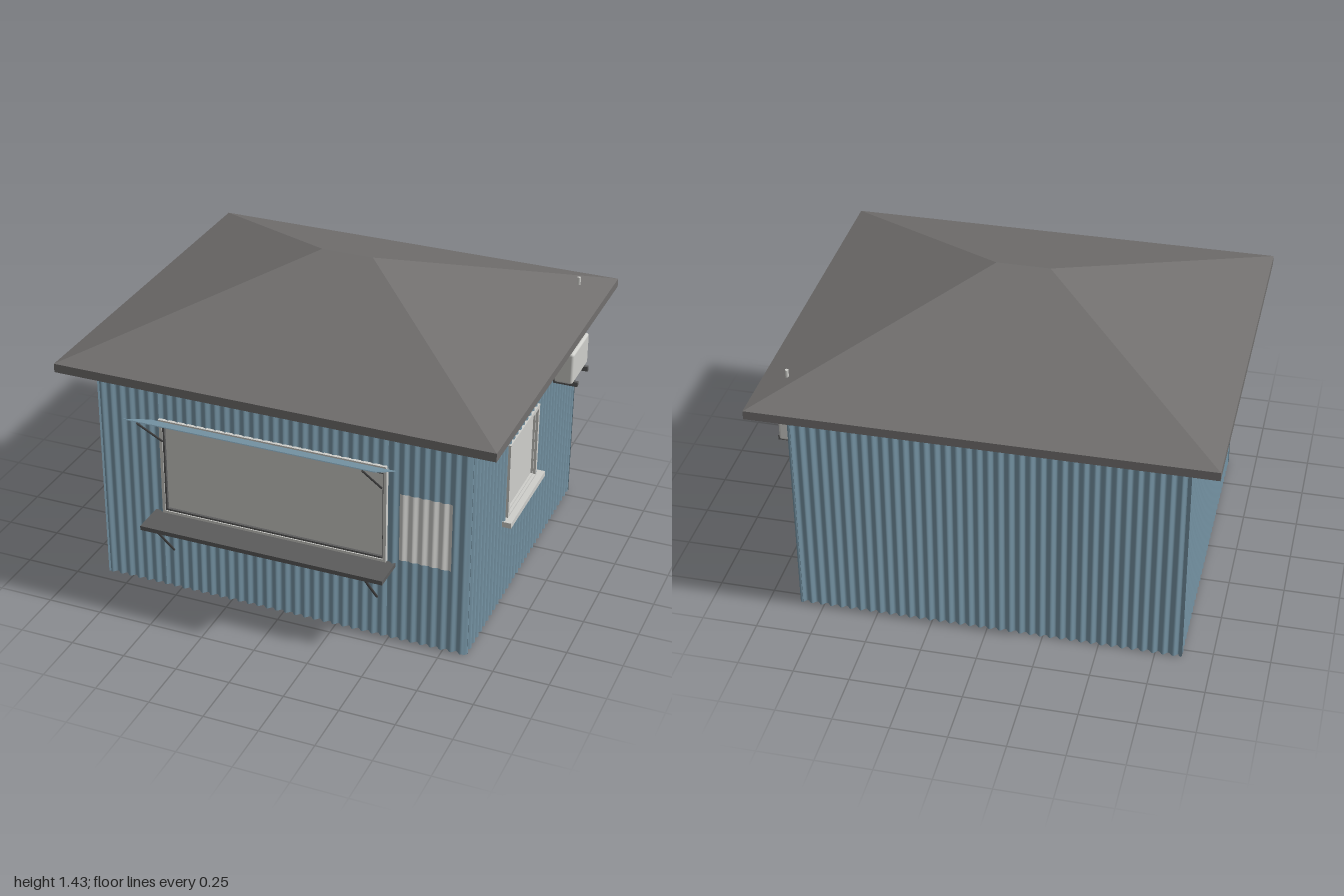
import * as THREE from 'three';
import { RoundedBoxGeometry } from 'three/addons/geometries/RoundedBoxGeometry.js';

const material = (name, color, side = THREE.FrontSide) =>
  Object.assign(new THREE.MeshStandardMaterial({ color, side }), { name });

const PITCH = 0.0455, DEPTH = 0.009;   // wall corrugation

export function createModel() {
  const blue = material('blue sheet metal', 0x7897a8, THREE.DoubleSide);
  const roofGrey = material('roof grey', 0x716f6e);
  const dark = material('dark underside', 0x464646);
  const white = material('off white', 0xcfcfcb);
  const paper = material('paper white', 0xcfcfcc, THREE.DoubleSide);
  const steel = material('steel grey', 0x5c5c5c);

  const model = new THREE.Group();
  model.name = 'kiosk';

  const add = (parent, name, geometry, mat) => {
    const mesh = new THREE.Mesh(geometry, mat);
    mesh.name = name;
    parent.add(mesh);
    return mesh;
  };
  // Box given by its min and max corners
  const box = (parent, name, mat, x0, x1, y0, y1, z0, z1) => {
    const mesh = add(parent, name, new THREE.BoxGeometry(x1 - x0, y1 - y0, z1 - z0), mat);
    mesh.position.set((x0 + x1) / 2, (y0 + y1) / 2, (z0 + z1) / 2);
    return mesh;
  };
  // Straight rod between two points
  const rod = (parent, name, mat, a, b, radius, sides = 6) => {
    const from = new THREE.Vector3(...a), to = new THREE.Vector3(...b);
    const dir = to.clone().sub(from);
    const mesh = add(parent, name, new THREE.CylinderGeometry(radius, radius, dir.length(), sides), mat);
    mesh.position.copy(from).add(to).multiplyScalar(0.5);
    mesh.quaternion.setFromUnitVectors(new THREE.Vector3(0, 1, 0), dir.normalize());
  };
  // Corrugated sheet facing local +z
  const sheet = (parent, name, mat, u0, u1, y0, y1, offset = 0, wobble = 0) => {
    const g = new THREE.PlaneGeometry(u1 - u0, y1 - y0, Math.ceil((u1 - u0) / PITCH * 8), 1);
    g.translate((u0 + u1) / 2, (y0 + y1) / 2, 0);
    const p = g.attributes.position;
    for (let i = 0; i < p.count; i++) {
      const wave = Math.sin(p.getX(i) / PITCH * Math.PI * 2);
      p.setZ(i, DEPTH * (wave - 1) + offset);
      p.setY(i, p.getY(i) + wobble * wave);
    }
    g.computeVertexNormals();
    return add(parent, name, g, mat);
  };
  // Rectangular frame of four bars
  const frame = (parent, name, mat, x0, x1, y0, y1, t, z0, z1) => {
    box(parent, name, mat, x0, x0 + t, y0, y1, z0, z1);
    box(parent, name, mat, x1 - t, x1, y0, y1, z0, z1);
    box(parent, name, mat, x0 + t, x1 - t, y0, y0 + t, z0, z1);
    box(parent, name, mat, x0 + t, x1 - t, y1 - t, y1, z0, z1);
  };
  // One wall, with an optional opening [u0, u1, y0, y1]
  const TOP = 1.07;
  const wall = (name, angle, x, z, u0, u1, hole) => {
    const group = new THREE.Group();
    group.name = name;
    group.rotation.y = angle;
    group.position.set(x, 0, z);
    if (hole) {
      const [a, b, c, d] = hole;
      sheet(group, name + 'Sheet', blue, u0, a, 0, TOP);
      sheet(group, name + 'Sheet', blue, b, u1, 0, TOP);
      sheet(group, name + 'Sheet', blue, a, b, 0, c);
      sheet(group, name + 'Sheet', blue, a, b, d, TOP);
    } else sheet(group, name + 'Sheet', blue, u0, u1, 0, TOP);
    model.add(group);
    return group;
  };
  const front = wall('frontWall', 0, 0, 0.69, -0.87, 0.86, [-0.575, 0.485, 0.385, 0.84]);
  const side = wall('leftWall', Math.PI / 2, 0.86, 0, -0.69, 0.8, [-0.19, 0.22, 0.4, 0.775]);
  wall('backWall', Math.PI, 0, -0.8, -0.86, 0.87);
  wall('rightWall', -Math.PI / 2, -0.87, 0, -0.8, 0.69);
  box(model, 'cornerPost', white, -0.85, -0.8, 0, 1.065, 0.62, 0.67);

  // Hipped roof: fascia slab, and a box pinched to a short ridge
  const slab = [roofGrey, roofGrey, roofGrey, dark, roofGrey, roofGrey];
  box(model, 'roofFascia', slab, -1, 1, 1.065, 1.105, -0.93, 0.82);
  const hip = new THREE.BoxGeometry(2, 0.325, 1.75);
  const hp = hip.attributes.position;
  for (let i = 0; i < hp.count; i++) {
    if (hp.getY(i) > 0) hp.setXYZ(i, Math.sign(hp.getX(i)) * 0.12, hp.getY(i), 0);
  }
  hip.computeVertexNormals();
  add(model, 'hippedRoof', hip, roofGrey).position.set(0, 1.2675, -0.055);

  // Serving window (local z = 0 is the wall face)
  frame(front, 'servingWindowTrim', white, -0.575, 0.485, 0.385, 0.84, 0.014, -0.04, 0.004);
  frame(front, 'servingWindowFrame', steel, -0.561, 0.476, 0.4, 0.828, 0.009, -0.035, 0);
  box(front, 'servingShutter', white, -0.56, 0.475, 0.39, 0.835, -0.03, -0.012);

  // Awning flap, hinged above the window and propped open
  box(front, 'awningHinge', white, -0.575, 0.485, 0.84, 0.86, -0.005, 0.01);
  const rise = Math.atan2(0.125, 0.235), length = Math.hypot(0.125, 0.235);
  const flap = add(front, 'awningFlap', new THREE.BoxGeometry(1.14, 0.004, length),
    [blue, blue, blue, dark, blue, blue]);
  flap.position.set(-0.045, 0.91, 0.122);
  flap.rotation.x = -rise;
  for (const x of [-0.555, 0.467])
    rod(front, 'awningStrut', dark, [x, 0.76, 0.015], [x, 0.96, 0.23], 0.005);

  // Counter shelf with diagonal brackets
  box(front, 'counterShelf', steel, -0.615, 0.525, 0.367, 0.387, -0.01, 0.145);
  for (const x of [-0.53, 0.445])
    rod(front, 'counterBracket', dark, [x, 0.2, 0], [x, 0.37, 0.14], 0.006);

  // Notice sheet following the corrugation
  sheet(front, 'noticeSheet', paper, 0.54, 0.78, 0.41, 0.737, 0.005, 0.004);

  // Side window with sill
  frame(side, 'sideWindowFrame', white, -0.19, 0.22, 0.4, 0.775, 0.018, -0.04, 0.004);
  frame(side, 'sideWindowSash', white, -0.172, 0.202, 0.418, 0.757, 0.006, -0.035, -0.008);
  box(side, 'sideWindowPane', white, -0.18, 0.21, 0.41, 0.765, -0.032, -0.018);
  box(side, 'sideWindowSill', white, -0.23, 0.258, 0.384, 0.41, -0.02, 0.032);

  // Air conditioner on two wall brackets, with its pipe through the roof
  add(side, 'airConditioner', new RoundedBoxGeometry(0.245, 0.155, 0.088, 3, 0.012), white)
    .position.set(0.5425, 0.862, 0.046);
  for (const u of [0.462, 0.625])
    box(side, 'airConditionerBracket', steel, u - 0.008, u + 0.008, 0.762, 0.785, -0.01, 0.105);
  rod(side, 'pipeElbow', white, [0.66, 0.84, 0.014], [0.714, 0.84, 0.014], 0.006, 10);
  rod(side, 'pipeRiser', white, [0.709, 0.835, 0.014], [0.709, 1.18, 0.014], 0.006, 10);
  rod(side, 'pipeCap', white, [0.709, 1.15, 0.014], [0.709, 1.187, 0.014], 0.008, 10);

  return model;
}
